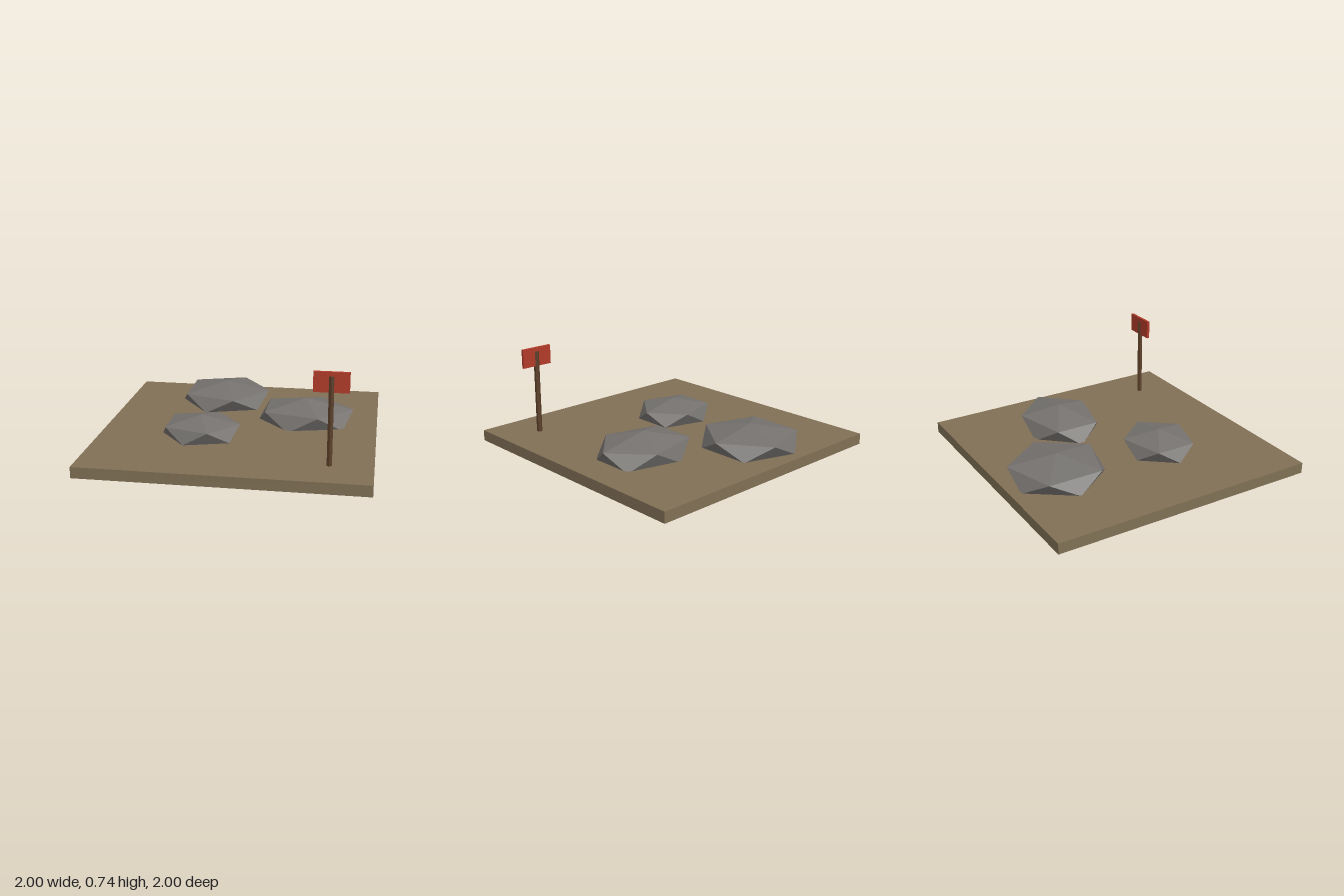
import * as THREE from 'three';

const mat = (name, color, flatShading = true) => {
  const m = new THREE.MeshStandardMaterial({ color, flatShading });
  m.name = name;
  return m;
};

export function createModel() {
  const group = new THREE.Group();
  const earth = mat('earth', 0x807055);
  const stone = mat('stone', 0x74716e);
  const wood = mat('wood', 0x5c4029);
  const red = mat('signRed', 0xb23c2a);

  const add = (name, geometry, material, x, y, z) => {
    const mesh = new THREE.Mesh(geometry, material);
    mesh.name = name;
    mesh.position.set(x, y, z);
    group.add(mesh);
    return mesh;
  };

  // Ground slab, top at y = 0.09
  add('groundSlab', new THREE.BoxGeometry(2, 0.08, 2), earth, 0, 0.05, 0);

  // Flattened boulders: icosahedra standing on a corner, sunk into the slab
  const tilt = -Math.atan2(1, (1 + Math.sqrt(5)) / 2);
  const boulder = (name, x, y, z, rx, ry, rz) => {
    const geometry = new THREE.IcosahedronGeometry(1, 0).rotateZ(tilt).scale(rx, ry, rz);
    geometry.computeVertexNormals();
    add(name, geometry, stone, x, y, z);
  };
  boulder('backBoulder', -0.22, 0.138, -0.59, 0.391, 0.119, 0.391);
  boulder('sideBoulder', 0.46, 0.133, -0.2, 0.403, 0.133, 0.318);
  boulder('frontBoulder', -0.26, 0.139, 0.245, 0.319, 0.107, 0.289);

  // Six-sided signpost with a thin board
  add('signPost', new THREE.CylinderGeometry(0.02, 0.02, 0.701, 6), wood, 0.7, 0.3595, 0.7);
  add('signBoard', new THREE.BoxGeometry(0.24, 0.14, 0.02), red, 0.7, 0.67, 0.7);

  return group;
}
